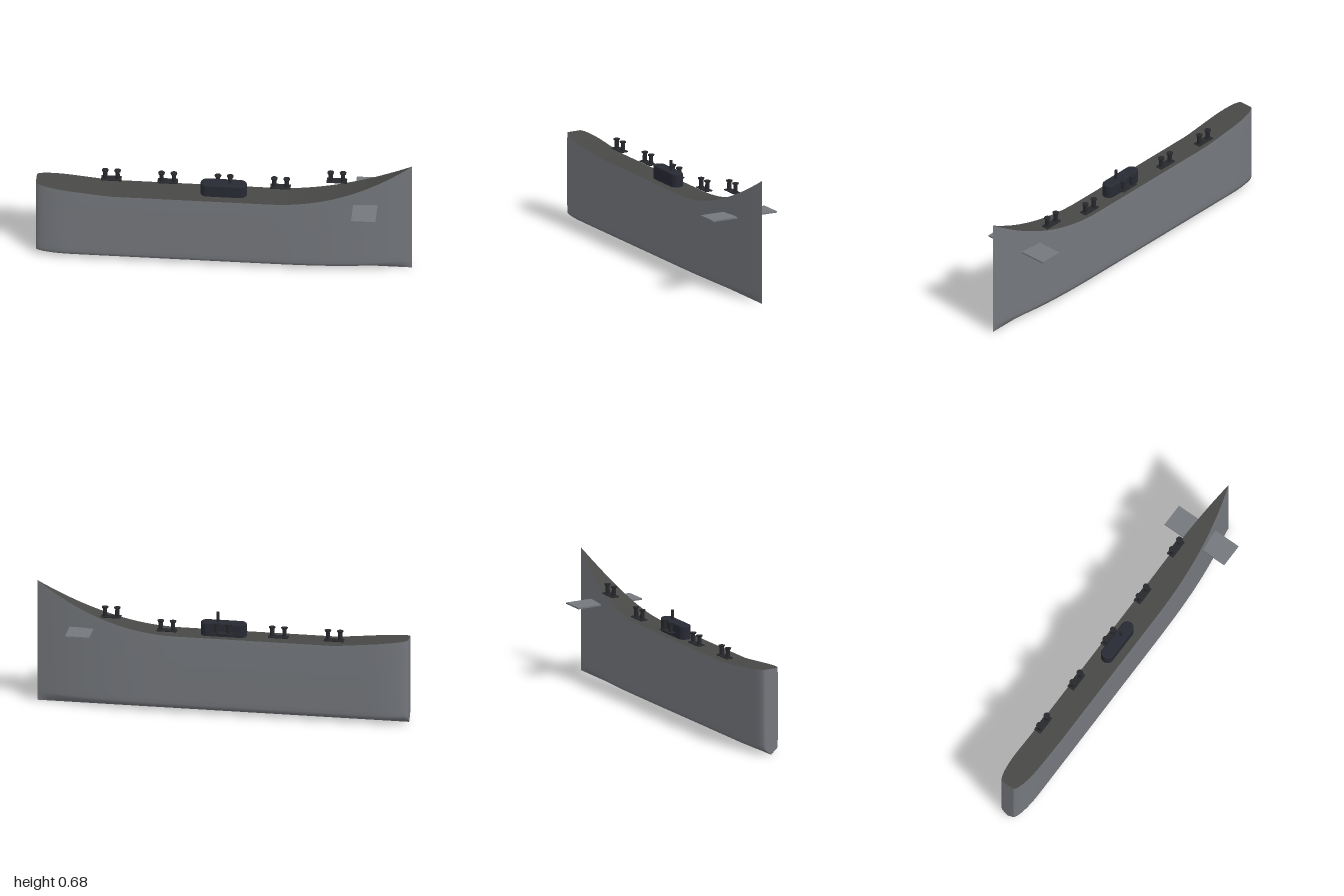
import * as THREE from 'three';
import { RoundedBoxGeometry } from 'three/addons/geometries/RoundedBoxGeometry.js';

const mat = (name, color) => {
  const m = new THREE.MeshStandardMaterial({ color });
  m.name = name;
  return m;
};

// Height of the deck edge: level amidships, rising to the stern and sweeping up to the bow
const deckY = (x) => {
  if (x > 0.25) return 0.43 + 0.245 * ((x - 0.25) / 0.75) ** 2;
  if (x < -0.6) return 0.43 + 0.042 * ((-0.6 - x) / 0.4) ** 1.1;
  return 0.43;
};

// Half beam: rounded stern, parallel middle, pointed bow
const halfBeam = (x) => {
  if (x > 0.2) return 0.075 * (1 - ((x - 0.2) / 0.8) ** 2.85);
  if (x < -0.8) return 0.035 + 0.04 * Math.sqrt(1 - ((-0.8 - x) / 0.2) ** 2);
  return 0.075;
};

// Cross-section from keel to gunwale
const section = (x) => {
  const w = halfBeam(x), top = deckY(x);
  return [[0, 0], [0.5, 0.016], [0.94, 0.032], [0.99, 0.05], [1, 0.08], [1, 0.25], [1, top - 0.03], [0.985, top]]
    .map(([k, y]) => [k * w, y]);
};

// Stations, packed more closely towards both ends
const stations = Array.from({ length: 65 }, (_, i) => -Math.cos((Math.PI * i) / 64));

// Surface through rows of points; flip reverses the facing side
function skin(rows, flip) {
  const n = rows[0].length, index = [];
  for (let i = 0; i < rows.length - 1; i++) {
    for (let j = 0; j < n - 1; j++) {
      const a = i * n + j, b = a + n, c = b + 1, d = a + 1;
      index.push(...(flip ? [a, c, b, a, d, c] : [a, b, c, a, c, d]));
    }
  }
  const g = new THREE.BufferGeometry();
  g.setAttribute('position', new THREE.Float32BufferAttribute(rows.flat(2), 3));
  g.setIndex(index);
  g.computeVertexNormals();
  return g;
}

export function createModel() {
  const model = new THREE.Group();
  model.name = 'ship';
  const hullGrey = mat('hull grey', 0x74777c);
  const deckGrey = mat('deck grey', 0x484846);
  const fittingBlack = mat('fitting black', 0x27282c);
  const houseBlue = mat('deckhouse blue black', 0x282a34);

  const add = (parent, name, geometry, material, x = 0, y = 0, z = 0) => {
    const m = new THREE.Mesh(geometry, material);
    m.name = name;
    m.position.set(x, y, z);
    parent.add(m);
    return m;
  };

  // Hull sides, mirrored about the keel
  for (const s of [1, -1]) {
    const rows = stations.map((x) => section(x).map(([z, y]) => [x, y, s * z]));
    add(model, s > 0 ? 'hullFrontSide' : 'hullBackSide', skin(rows, s < 0), hullGrey);
  }

  // Flat transom at the stern
  const end = section(-1);
  add(model, 'transom', skin([
    end.map(([z, y]) => [-1, y, -z]),
    end.map(([z, y]) => [-1, y, z]),
  ]), hullGrey);

  // Deck
  const deckRows = stations.map((x) => {
    const w = halfBeam(x) * 0.985;
    return [[x, deckY(x), w], [x, deckY(x), -w]];
  });
  add(model, 'deck', skin(deckRows), deckGrey);

  // Bow planes
  for (const s of [1, -1]) {
    add(model, 'bowPlane', new THREE.BoxGeometry(0.13, 0.008, 0.15), hullGrey, 0.755, 0.436, s * 0.12);
  }

  // Deckhouse: stadium plan with softened top edge, and a short mast
  const plan = new THREE.Shape();
  plan.absarc(0.089, 0, 0.026, -Math.PI / 2, Math.PI / 2);
  plan.absarc(-0.089, 0, 0.026, Math.PI / 2, Math.PI * 1.5);
  const house = new THREE.ExtrudeGeometry(plan, {
    depth: 0.07, bevelThickness: 0.008, bevelSize: 0.008, bevelSegments: 3, curveSegments: 10,
  });
  house.rotateX(-Math.PI / 2);
  add(model, 'deckhouse', house, houseBlue, -0.003, 0.426, -0.003);
  add(model, 'mast', new THREE.CylinderGeometry(0.008, 0.008, 0.055, 12), fittingBlack, 0.03, 0.53, -0.003);

  // Paired mooring bollards along one side
  for (let i = 0; i < 5; i++) {
    const x = -0.605 + 0.3 * i;
    const pair = new THREE.Group();
    pair.name = 'bollardPair';
    pair.position.set(x, 0.453 + Math.max(0, deckY(x) - 0.4325) * (i === 4 ? 1.18 : 0), -0.053);
    add(pair, 'bollardBase', new RoundedBoxGeometry(0.108, 0.007, 0.042, 2, 0.003), fittingBlack, 0, 0.0035);
    for (const s of [1, -1]) {
      add(pair, 'bollardPost', new THREE.CylinderGeometry(0.011, 0.012, 0.05, 16), fittingBlack, s * 0.033, 0.029);
      add(pair, 'bollardCap', new THREE.CylinderGeometry(0.018, 0.016, 0.007, 16), fittingBlack, s * 0.033, 0.054);
    }
    model.add(pair);
  }
  return model;
}
